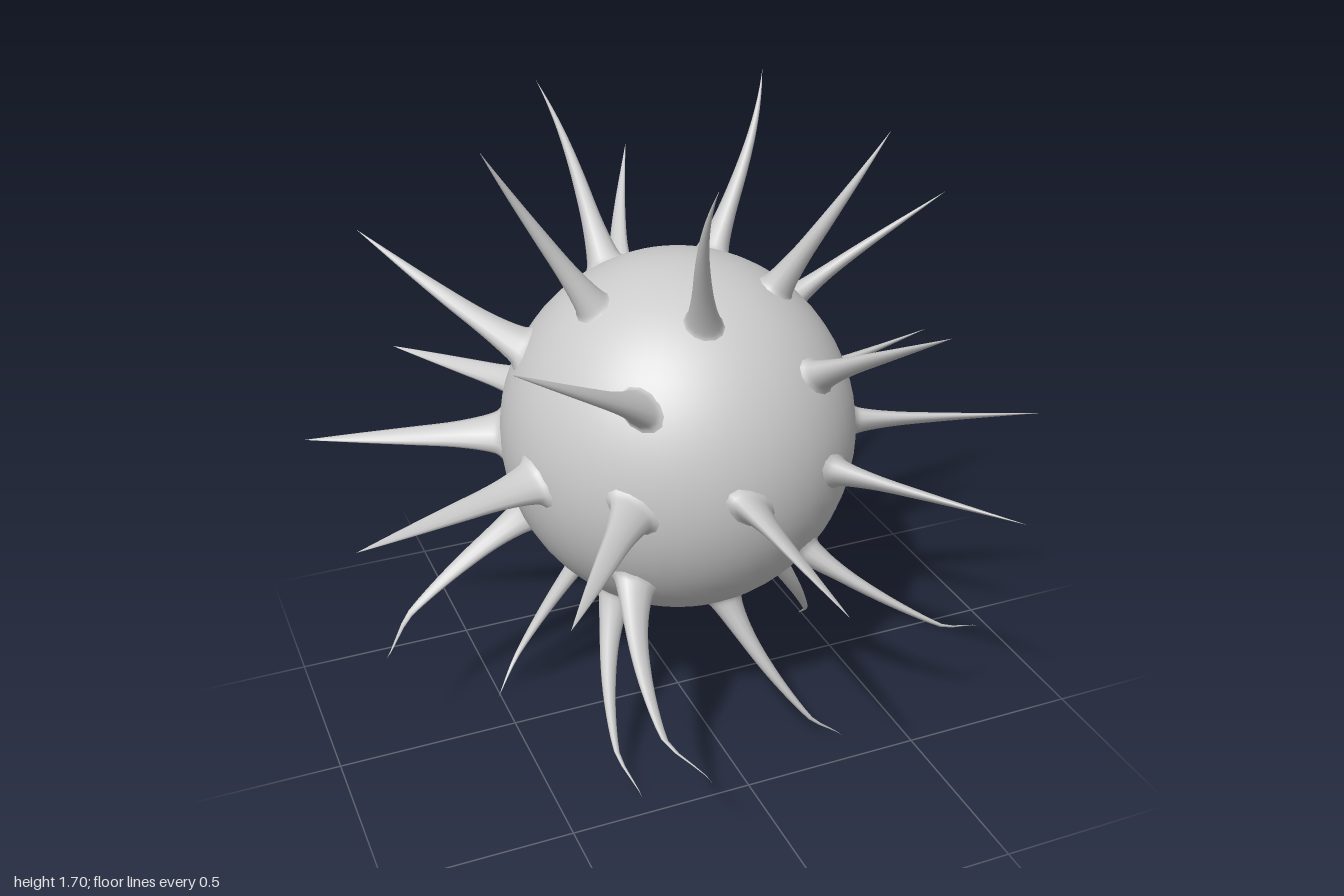
import * as THREE from 'three';
import { mergeVertices } from 'three/addons/utils/BufferGeometryUtils.js';

const CENTRE_Y = 0.855;
const DEG = Math.PI / 180;

// Swirl about the vertical axis, by height, with a small hook at the low tips
function swirl(y, r) {
  if (y >= 0) return 32.3 * DEG * Math.sin(2.24 * y);
  const hook = THREE.MathUtils.smoothstep(r, 0.88, 1) * Math.min(1, -y / 0.5);
  return (62 * y - 4.5 * hook) * DEG;
}

function applySwirl(geometry) {
  const pos = geometry.attributes.position;
  const v = new THREE.Vector3();
  for (let i = 0; i < pos.count; i++) {
    v.fromBufferAttribute(pos, i);
    const a = swirl(v.y, v.length());
    const c = Math.cos(a), s = Math.sin(a);
    pos.setXYZ(i, v.x * c - v.z * s, v.y, v.x * s + v.z * c);
  }
  geometry.computeVertexNormals();
  return geometry;
}

// Concave cone with a flared foot, pointing along +y from the body centre
function spikeGeometry() {
  const profile = new THREE.SplineCurve([
    [0.095, 0.455], [0.056, 0.478], [0.041, 0.51], [0.027, 0.6],
    [0.018, 0.72], [0.009, 0.86], [0, 1],
  ].map(([x, y]) => new THREE.Vector2(x, y))).getPoints(30);
  const g = new THREE.LatheGeometry(profile, 12);
  g.deleteAttribute('uv');
  g.deleteAttribute('normal');
  return mergeVertices(g, 1e-5);
}

export function createModel() {
  const group = new THREE.Group();
  const material = new THREE.MeshStandardMaterial({ color: 0xcccccc });

  // Round body
  const body = new THREE.Mesh(new THREE.SphereGeometry(0.48, 48, 32), material);
  body.name = 'body';
  body.scale.y = 1.02;
  body.position.y = CENTRE_Y;
  group.add(body);

  // Rings of spikes: latitude, count, first azimuth (from +x towards +z)
  const rings = [
    ['topSpikes', 58.28, 5, 0],
    ['upperSpikes', 31.72, 5, 36],
    ['middleSpikes', 0, 10, 18],
    ['lowerSpikes', -31.72, 5, 0],
    ['bottomSpikes', -58.28, 5, 36],
  ];
  const base = spikeGeometry();
  const up = new THREE.Vector3(0, 1, 0);
  for (const [name, latitude, count, start] of rings) {
    const ring = new THREE.Group();
    ring.name = name;
    ring.position.y = CENTRE_Y;
    for (let i = 0; i < count; i++) {
      const lat = latitude * DEG, az = (start + (i * 360) / count) * DEG;
      const dir = new THREE.Vector3(
        Math.cos(lat) * Math.cos(az), Math.sin(lat), Math.cos(lat) * Math.sin(az));
      const q = new THREE.Quaternion().setFromUnitVectors(up, dir);
      const spike = new THREE.Mesh(applySwirl(base.clone().applyQuaternion(q)), material);
      spike.name = 'spike';
      ring.add(spike);
    }
    group.add(ring);
  }
  return group;
}
